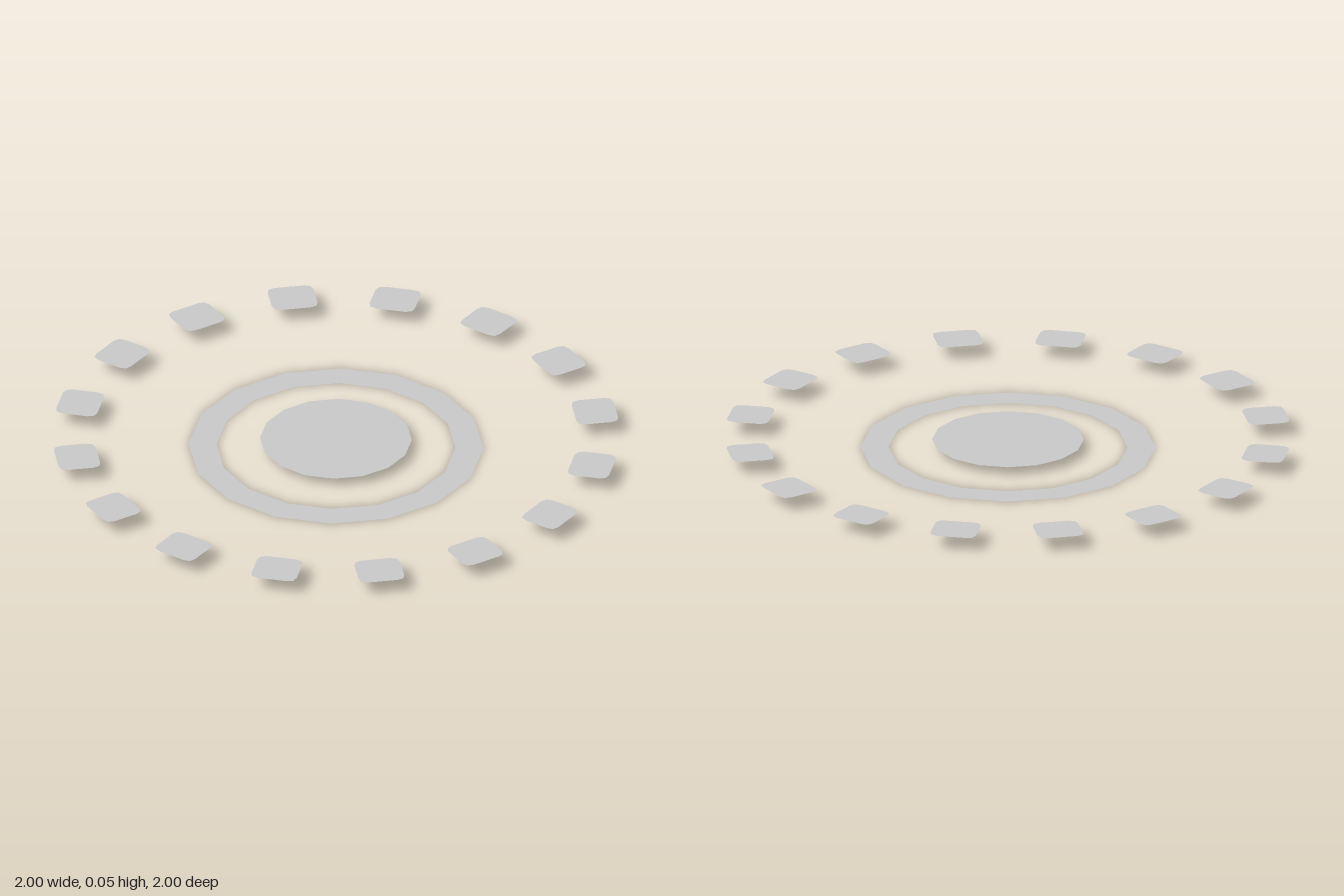
import * as THREE from 'three';

const material = new THREE.MeshStandardMaterial({ color: 0xcccccc, side: THREE.DoubleSide });

// Rectangle with softened corners
function tileGeometry(w, h, c) {
  const x = w / 2, y = h / 2;
  const s = new THREE.Shape();
  s.moveTo(-x + c, -y);
  s.lineTo(x - c, -y);
  s.quadraticCurveTo(x, -y, x, -y + c);
  s.lineTo(x, y - c);
  s.quadraticCurveTo(x, y, x - c, y);
  s.lineTo(-x + c, y);
  s.quadraticCurveTo(-x, y, -x, y - c);
  s.lineTo(-x, -y + c);
  s.quadraticCurveTo(-x, -y, -x + c, -y);
  return new THREE.ShapeGeometry(s, 2);
}

export function createModel() {
  const group = new THREE.Group();

  // Lay a flat shape on the horizontal plane at height y
  const addFlat = (name, geometry, y, parent = group) => {
    const mesh = new THREE.Mesh(geometry.rotateX(-Math.PI / 2), material);
    mesh.name = name;
    mesh.position.y = y;
    parent.add(mesh);
    return mesh;
  };

  // Lowest layer: 16-sided ring
  addFlat('middleRing', new THREE.RingGeometry(0.425, 0.525, 16, 1), 0);

  // Centre disc, slightly raised
  addFlat('centerDisc', new THREE.CircleGeometry(0.27, 16), 0.03);

  // Outer circle of tiles, each turned to face the centre
  const tiles = new THREE.Group();
  tiles.name = 'outerTiles';
  group.add(tiles);
  const count = 16, radius = 0.934;
  for (let i = 0; i < count; i++) {
    const a = ((i + 0.5) / count) * Math.PI * 2;
    const tile = addFlat('outerTile', tileGeometry(0.15, 0.165, 0.03), 0.05, tiles);
    tile.position.x = Math.cos(a) * radius;
    tile.position.z = -Math.sin(a) * radius;
    tile.rotation.y = a;
  }
  return group;
}
